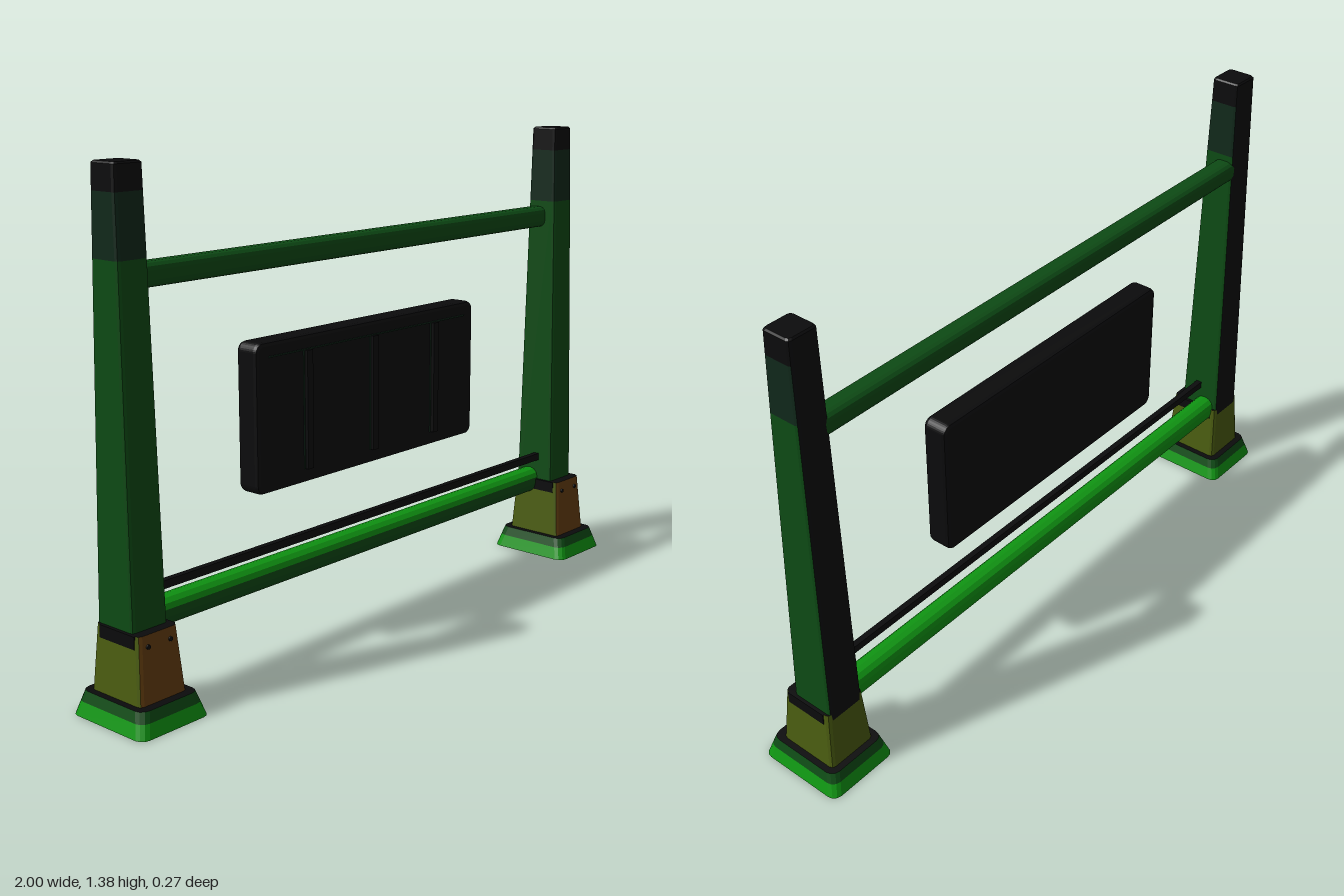
import * as THREE from 'three';

const mat = (name, color) => Object.assign(new THREE.MeshStandardMaterial({ color }), { name });

export function createModel() {
  const green = mat('green', 0x0d4a14);
  const bright = mat('bright green', 0x0f9412);
  const deep = mat('deep green', 0x10281a);
  const black = mat('black', 0x0b0b0c);
  const brown = mat('brown', 0x653e10);
  const olive = mat('olive', 0x4a5c10);

  const model = new THREE.Group();
  model.name = 'barrier';

  // Rounded rectangle as a ring of points running from +x towards +z
  function ring([y, hx, z0, z1, r], segs) {
    const points = [];
    const centres = [[hx - r, z1 - r], [r - hx, z1 - r], [r - hx, z0 + r], [hx - r, z0 + r]];
    centres.forEach(([cx, cz], q) => {
      for (let i = 0; i <= segs; i++) {
        const a = (q + i / segs) * Math.PI / 2;
        points.push(new THREE.Vector3(cx + r * Math.cos(a), y, cz + r * Math.sin(a)));
      }
    });
    return points;
  }

  // Solid through sections [y, halfWidth, back z, front z, corner radius];
  // pick(normal, band) chooses the material of every face
  function loft(name, sections, pick, segs = 2) {
    const faces = new Map();
    const tri = (a, b, c, m) => {
      if (!faces.has(m)) faces.set(m, []);
      faces.get(m).push(a, b, c);
    };
    const rings = sections.map((s) => ring(s, segs));
    const n = rings[0].length;
    const last = rings.length - 1;
    const normal = new THREE.Vector3();
    for (let k = 0; k < last; k++) {
      for (let i = 0; i < n; i++) {
        const j = (i + 1) % n;
        const a = rings[k][i], b = rings[k][j], c = rings[k + 1][i], d = rings[k + 1][j];
        normal.crossVectors(c.clone().sub(a), b.clone().sub(a)).normalize();
        const m = pick(normal, k);
        tri(a, c, b, m);
        tri(b, c, d, m);
      }
    }
    const bottom = pick(new THREE.Vector3(0, -1, 0), 0);
    const top = pick(new THREE.Vector3(0, 1, 0), last - 1);
    for (let i = 1; i < n - 1; i++) {
      tri(rings[0][0], rings[0][i], rings[0][i + 1], bottom);
      tri(rings[last][0], rings[last][i + 1], rings[last][i], top);
    }
    const geometry = new THREE.BufferGeometry();
    const points = [];
    [...faces.values()].forEach((list, m) => {
      geometry.addGroup(points.length, list.length, m);
      points.push(...list);
    });
    geometry.setFromPoints(points);
    geometry.computeVertexNormals();
    const mesh = new THREE.Mesh(geometry, [...faces.keys()]);
    mesh.name = name;
    return mesh;
  }

  function box(name, size, position, material, parent = model) {
    const mesh = new THREE.Mesh(new THREE.BoxGeometry(...size), material);
    mesh.name = name;
    mesh.position.set(...position);
    parent.add(mesh);
    return mesh;
  }

  // Two uprights, each with foot, sleeve and tapered post
  for (const side of [-1, 1]) {
    const upright = new THREE.Group();
    upright.name = side > 0 ? 'leftUpright' : 'rightUpright';
    upright.position.x = side * 0.887;
    model.add(upright);

    upright.add(loft('foot',
      [[0, 0.113, -0.135, 0.135, 0.025], [0.037, 0.102, -0.124, 0.124, 0.025],
        [0.065, 0.094, -0.115, 0.115, 0.025]],
      (n, k) => (n.y > 0.9 ? black : k === 0 ? bright : green), 3));

    upright.add(loft('sleeve',
      [[0.06, 0.076, -0.096, 0.09, 0.012], [0.24, 0.063, -0.085, 0.075, 0.012]],
      (n) => (n.y > 0.9 ? black : n.z > 0.6 ? brown : olive)));

    upright.add(loft('post',
      [[0.22, 0.057, -0.087, 0.047, 0.01], [1.15, 0.0475, -0.069, 0.028, 0.01],
        [1.31, 0.046, -0.066, 0.024, 0.01], [1.375, 0.045, -0.065, 0.023, 0.01],
        [1.38, 0.041, -0.061, 0.019, 0.01]],
      (n, k) => (n.z < -0.6 || k > 1 ? black : k === 1 ? deep : green)));

    for (const s of [-1, 1]) {
      // Notch on each flank and a screw on each side of the front
      box('sleeveNotch', [0.006, 0.034, 0.13], [s * 0.0635, 0.223, -0.003], black, upright);
      const screw = new THREE.Mesh(new THREE.CylinderGeometry(0.006, 0.006, 0.008, 10), black);
      screw.name = 'screw';
      screw.rotation.x = Math.PI / 2;
      screw.position.set(s * 0.036, 0.21, 0.078);
      upright.add(screw);
    }
  }

  // Rails run along x: lofted upright, then laid down so local x becomes up
  function rail(name, y, halfHeight, z0, z1, r, pick) {
    const mesh = loft(name,
      [[-0.85, halfHeight, z0, z1, r], [0.85, halfHeight, z0, z1, r]], pick, 3);
    mesh.rotation.z = Math.PI / 2;
    mesh.position.y = y;
    model.add(mesh);
  }
  rail('topRail', 1.1, 0.032, -0.07, -0.006, 0.02, () => green);
  rail('bottomRail', 0.235, 0.04, -0.071, -0.006, 0.03,
    (n) => (n.x < -0.6 || (n.x < 0.1 && n.z > 0) ? green : bright));
  box('thinBar', [1.68, 0.022, 0.018], [0, 0.315, -0.012], black);

  // Hanging panel with rounded corners and bevelled edges
  const w = 0.45, h = 0.195, r = 0.015;
  const outline = new THREE.Shape();
  outline.absarc(w - r, h - r, r, 0, Math.PI / 2);
  outline.absarc(r - w, h - r, r, Math.PI / 2, Math.PI);
  outline.absarc(r - w, r - h, r, Math.PI, Math.PI * 1.5);
  outline.absarc(w - r, r - h, r, Math.PI * 1.5, Math.PI * 2);
  const panel = new THREE.Mesh(new THREE.ExtrudeGeometry(outline, {
    depth: 0.05, bevelThickness: 0.012, bevelSize: 0.011, bevelSegments: 2, curveSegments: 4,
  }), black);
  panel.name = 'panel';
  panel.position.set(0, 0.675, -0.062);
  model.add(panel);

  // Ribs and fine seams on the panel front
  for (const x of [-0.27, 0, 0.27]) {
    box('panelRib', [0.022, 0.33, 0.016], [x, 0.675, 0.005], black);
    box('ribSeam', [0.004, 0.33, 0.004], [x - 0.012, 0.675, 0.001], deep);
  }
  box('panelSeam', [0.83, 0.004, 0.004], [0, 0.841, 0.001], deep);

  return model;
}
